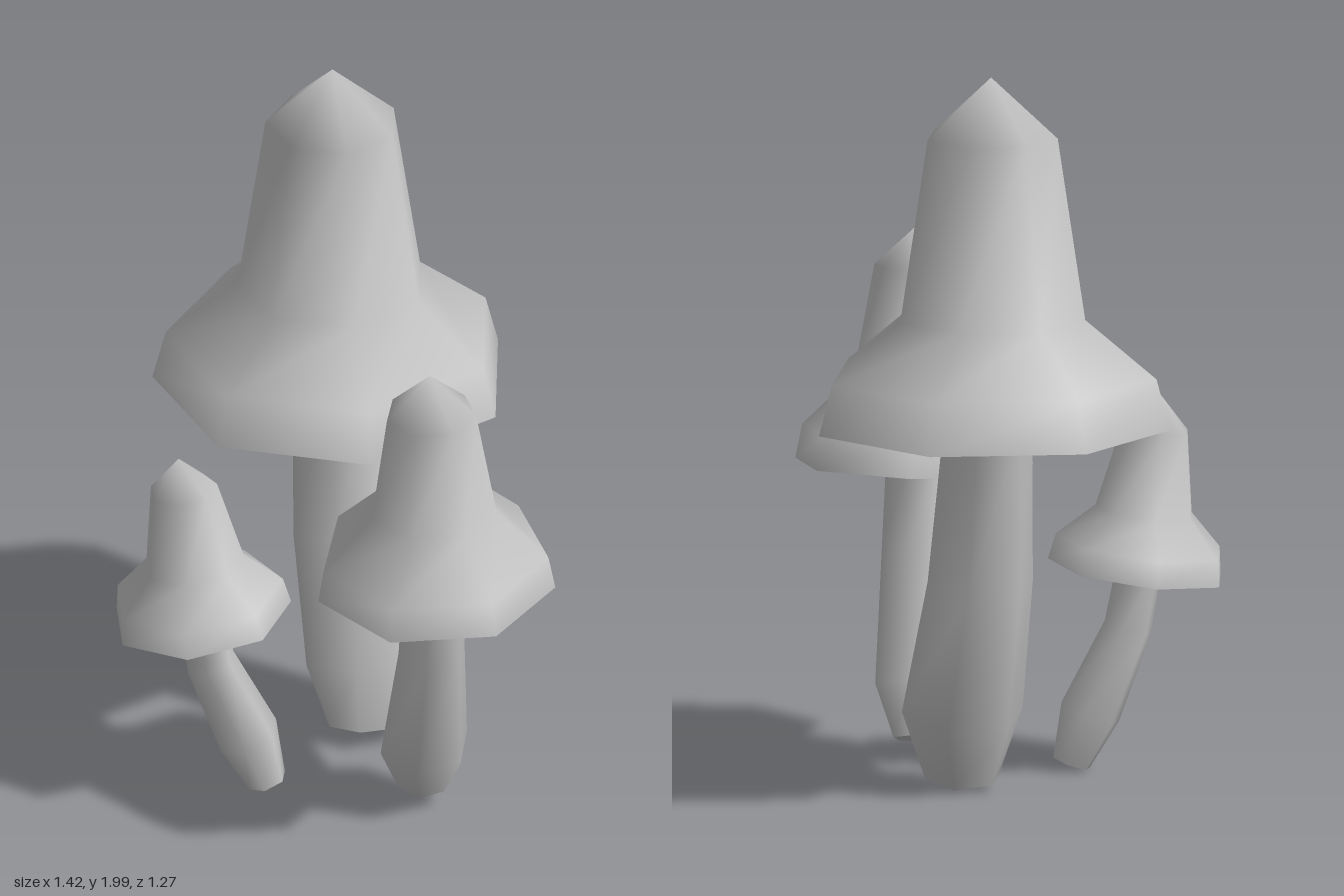
import * as THREE from 'three';

const UP = new THREE.Vector3(0, 1, 0);

// Smooth skin over rings [centre, axis, radius]; a radius of 0 closes to a point.
// The first ring gets a flat, hard-edged underside.
function loft(rings, sides, phase) {
  const pos = [], index = [], q = new THREE.Quaternion();
  const point = (ring, j) => {
    const a = phase + (j / sides) * Math.PI * 2;
    q.setFromUnitVectors(UP, ring[1]);
    return new THREE.Vector3(Math.sin(a), 0, Math.cos(a))
      .multiplyScalar(ring[2]).applyQuaternion(q).add(ring[0]);
  };
  rings.forEach((ring, i) => {
    const tip = ring[2] === 0;
    for (let j = 0; j < (tip ? 1 : sides); j++) pos.push(...point(ring, j).toArray());
    if (i === 0) return;
    const lo = (i - 1) * sides, hi = i * sides;
    for (let j = 0; j < sides; j++) {
      const k = (j + 1) % sides;
      if (tip) index.push(lo + j, lo + k, hi);
      else index.push(lo + j, lo + k, hi + k, lo + j, hi + k, hi + j);
    }
  });
  // underside
  const base = pos.length / 3;
  for (let j = 0; j < sides; j++) pos.push(...point(rings[0], j).toArray());
  for (let j = 1; j < sides - 1; j++) index.push(base, base + j + 1, base + j);
  const geo = new THREE.BufferGeometry();
  geo.setAttribute('position', new THREE.Float32BufferAttribute(pos, 3));
  geo.setIndex(index);
  geo.computeVertexNormals();
  return geo;
}

// Bell cap: profile of [height, radius] along a tilted axis
function capGeometry({ base, axis, profile, phase }) {
  const dir = new THREE.Vector3(...axis).normalize();
  const origin = new THREE.Vector3(...base);
  const rings = profile.map(([h, r]) => [origin.clone().addScaledVector(dir, h), dir, r]);
  return loft(rings, 7, THREE.MathUtils.degToRad(phase));
}

// Curved stem: [x, y, z, radius] from the ground up
function stemGeometry(path) {
  const pts = path.map(([x, y, z]) => new THREE.Vector3(x, y, z));
  const last = pts.length - 1;
  const rings = pts.map((p, i) => {
    const dir = pts[Math.min(i + 1, last)].clone().sub(pts[Math.max(i - 1, 0)]).normalize();
    return [p, dir, path[i][3]];
  });
  return loft(rings, 6, Math.PI / 6);
}

const MUSHROOMS = [
  {
    name: 'largeMushroom',
    cap: {
      base: [-0.238, 1.035, -0.187], axis: [0, 1, 0.005], phase: -2,
      profile: [[0, 0.493], [0.14, 0.456], [0.3, 0.26], [0.8, 0.183], [0.965, 0]],
    },
    stem: [[-0.08, 0.04, -0.125, 0.107], [-0.11, 0.23, -0.16, 0.172],
      [-0.2, 0.6, -0.185, 0.15], [-0.235, 1.06, -0.19, 0.125]],
  },
  {
    name: 'mediumMushroom',
    cap: {
      base: [0.4, 0.793, 0.193], axis: [0.025, 1, 0.065], phase: 170.5,
      profile: [[0, 0.332], [0.095, 0.315], [0.235, 0.175], [0.543, 0.125], [0.663, 0]],
    },
    stem: [[0.265, 0.068, 0.07, 0.073], [0.295, 0.21, 0.105, 0.127],
      [0.375, 0.57, 0.175, 0.097], [0.39, 0.81, 0.19, 0.084]],
  },
  {
    name: 'smallMushroom',
    cap: {
      base: [-0.243, 0.556, 0.4], axis: [-0.1, 1, 0.075], phase: 80.5,
      profile: [[0, 0.248], [0.072, 0.235], [0.165, 0.138], [0.395, 0.094], [0.49, 0]],
    },
    stem: [[-0.115, 0.023, 0.27, 0.055], [-0.155, 0.165, 0.302, 0.088],
      [-0.228, 0.4, 0.375, 0.07], [-0.25, 0.57, 0.395, 0.064]],
  },
];

export function createModel() {
  const grey = new THREE.MeshStandardMaterial({ color: 0xc4c4c4 });
  grey.name = 'paleGrey';

  const model = new THREE.Group();
  model.name = 'mushroomCluster';
  for (const { name, cap, stem } of MUSHROOMS) {
    const mushroom = new THREE.Group();
    mushroom.name = name;
    const capMesh = new THREE.Mesh(capGeometry(cap), grey);
    capMesh.name = 'cap';
    const stemMesh = new THREE.Mesh(stemGeometry(stem), grey);
    stemMesh.name = 'stem';
    mushroom.add(capMesh, stemMesh);
    model.add(mushroom);
  }
  return model;
}
